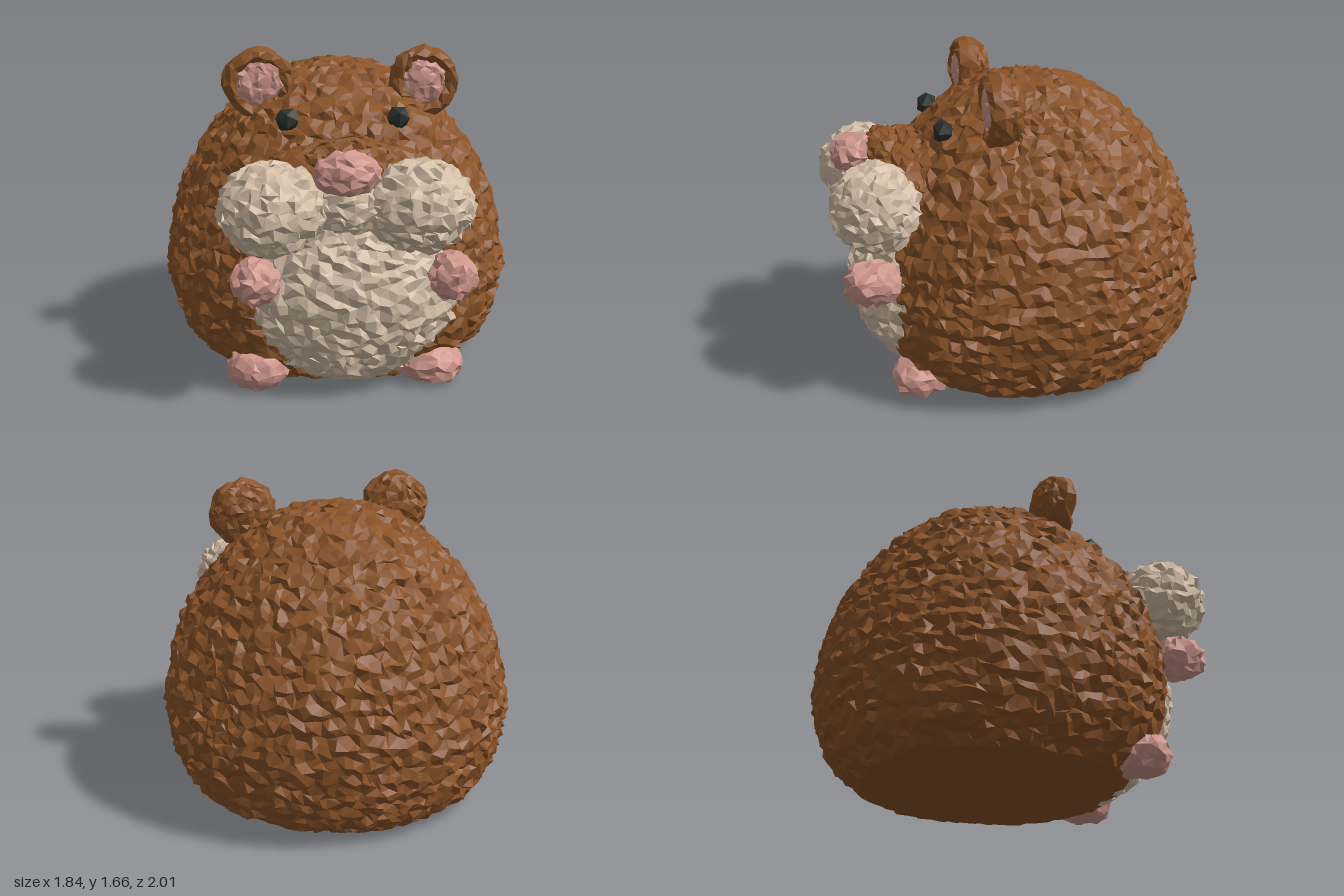
import * as THREE from 'three';
import { mergeVertices } from 'three/addons/utils/BufferGeometryUtils.js';

// Seeded random in -1..1
let seed = 7;
function rnd() {
  seed = (seed * 16807) % 2147483647;
  return (seed / 2147483647) * 2 - 1;
}

// Welds a geometry, shifts its points at random like knitted wool, and facets it
function knit(geometry, amount, floor) {
  geometry.deleteAttribute('uv');
  geometry.deleteAttribute('normal');
  const g = mergeVertices(geometry, 1e-4);
  const p = g.attributes.position;
  for (let i = 0; i < p.count; i++) {
    const onBase = p.getY(i) <= floor + 1e-4;
    const x = p.getX(i) + rnd() * amount;
    const y = p.getY(i) + rnd() * amount;
    const z = p.getZ(i) + rnd() * amount;
    p.setXYZ(i, x, onBase ? floor : Math.max(floor, y), z);
  }
  const flat = g.toNonIndexed();
  flat.computeVertexNormals();
  return flat;
}

// Body: an even sphere mesh mapped onto a pear-shaped profile with a flat base
function bodyGeometry() {
  const side = new THREE.SplineCurve([
    [0.64, 0], [0.755, 0.07], [0.85, 0.21], [0.905, 0.45], [0.89, 0.62], [0.845, 0.82],
    [0.77, 1.0], [0.64, 1.2], [0.45, 1.39], [0.26, 1.5], [0.1, 1.53], [0, 1.535],
  ].map(([r, y]) => new THREE.Vector2(r, y)));
  const outline = new THREE.CurvePath();
  outline.add(new THREE.LineCurve(new THREE.Vector2(0, 0), new THREE.Vector2(0.64, 0)));
  outline.add(side);

  const g = new THREE.IcosahedronGeometry(1, 26);
  const p = g.attributes.position;
  const v = new THREE.Vector3();
  for (let i = 0; i < p.count; i++) {
    v.fromBufferAttribute(p, i).normalize();
    const t = Math.acos(THREE.MathUtils.clamp(-v.y, -1, 1)) / Math.PI;
    const q = outline.getPointAt(t);
    const y = q.y < 0.015 ? 0 : q.y;
    const around = Math.hypot(v.x, v.z) || 1;
    const sx = v.x / around, sz = v.z / around;
    const corner = 2 * Math.abs(sx) * Math.max(0, sz); // fuller beside the belly
    let r = q.x * (1 + 0.045 * corner * corner);
    if (y > 0.1 && y < 1.4) r += 0.009 * Math.sin(y * 70); // stitch rows
    let z = sz * r - 0.075;
    const front = 0.58 + 0.65 * Math.min(y, 0.2); // flattened behind the belly
    if (z > front) z = front + (z - front) * 0.12;
    p.setXYZ(i, sx * r, y, z);
  }
  return g;
}

export function createModel() {
  const model = new THREE.Group();
  model.name = 'plushRodent';
  const material = (name, color) => {
    const m = new THREE.MeshStandardMaterial({ color });
    m.name = name;
    return m;
  };
  const brown = material('brownWool', 0x8b5429);
  const cream = material('creamWool', 0xd3bea6);
  const pink = material('pinkWool', 0xcf968c);
  const black = material('darkEye', 0x2a302e);

  const add = (name, geometry, mat, parent = model) => {
    const mesh = new THREE.Mesh(geometry, mat);
    mesh.name = name;
    parent.add(mesh);
  };
  // Knitted ellipsoid, kept just above the ground
  const ball = (name, mat, [x, y, z], [rx, ry, rz], detail, amount = 0.016, parent = model) => {
    const g = new THREE.IcosahedronGeometry(1, detail);
    g.scale(rx, ry, rz).translate(x, y, z);
    add(name, knit(g, amount, 0.006), mat, parent);
  };

  add('body', knit(bodyGeometry(), 0.017, 0), brown);

  // Belly, muzzle and nose
  ball('belly', cream, [0.03, 0.495, 0.3], [0.67, 0.56, 0.605], 18, 0.016);
  ball('snout', brown, [0, 1.03, 0.59], [0.44, 0.225, 0.25], 9);
  ball('snoutBridge', brown, [0, 1.175, 0.7], [0.21, 0.105, 0.1], 5);
  ball('chin', cream, [0, 0.99, 0.77], [0.2, 0.13, 0.14], 5);
  ball('nose', pink, [-0.018, 1.16, 0.835], [0.158, 0.102, 0.135], 3, 0.014);

  // Paired parts
  for (const s of [-1, 1]) {
    const side = s > 0 ? 'left' : 'right';
    ball(side + 'Cheek', cream, [s * 0.347 - 0.014, 0.98, 0.77], [0.26, 0.22, 0.235], 7);
    ball(side + 'Hand', pink, [s * 0.47 + 0.022, 0.64, 0.825], [0.117, 0.113, 0.14], 3, 0.014);
    ball(side + 'Foot', pink, [s * 0.437, 0.09, 0.585], [0.16, 0.115, 0.155], 3, 0.014);
    ball(side + 'Eye', black, [s * 0.275, 1.325, 0.425], [0.064, 0.064, 0.056], 0, 0.003);

    // Ear: rounded rim, domed back and a pink hollow
    const ear = new THREE.Group();
    ear.name = side + 'Ear';
    const x = s * 0.42 + 0.015;
    const rim = new THREE.TorusGeometry(0.14, 0.042, 8, 24);
    rim.scale(1, 1, 1.6).translate(x, 1.465, 0.185);
    add('earRim', knit(rim, 0.012, 0), brown, ear);
    ball('earBack', brown, [x, 1.465, 0.14], [0.165, 0.165, 0.085], 5, 0.012, ear);
    ball('innerEar', pink, [x, 1.475, 0.205], [0.13, 0.13, 0.045], 4, 0.01, ear);
    model.add(ear);
  }
  return model;
}
